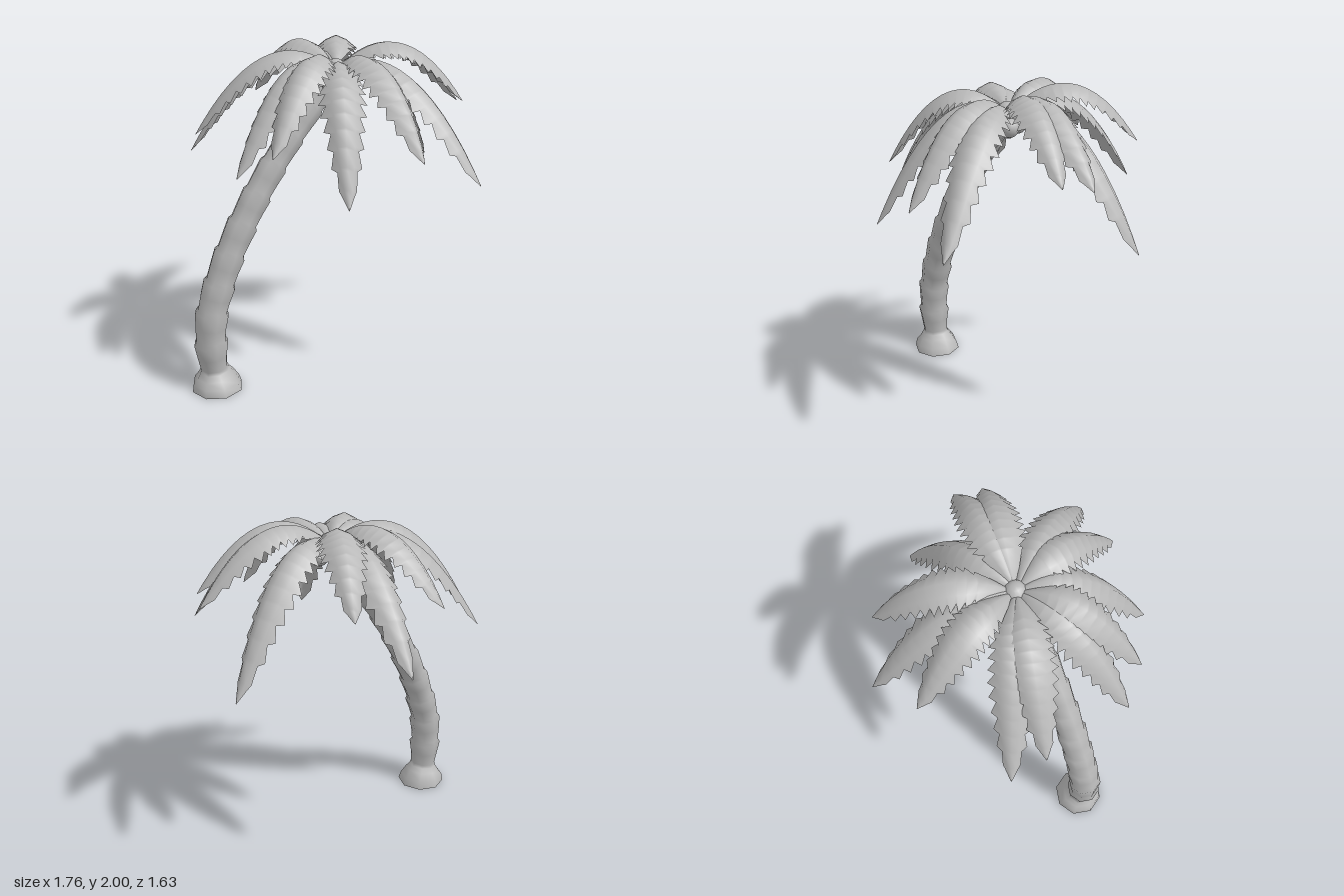
import * as THREE from 'three';

const grey = new THREE.MeshStandardMaterial({ color: 0xb8b8b8, side: THREE.DoubleSide });
grey.name = 'plain grey';

// Smooth surface through rows of points; wrap joins the last column to the first
function skin(rows, wrap) {
  const n = rows[0].length, index = [];
  const cols = wrap ? n : n - 1;
  for (let i = 0; i < rows.length - 1; i++) {
    for (let j = 0; j < cols; j++) {
      const a = i * n + j, b = i * n + (j + 1) % n, c = a + n, d = b + n;
      index.push(a, b, c, b, d, c);
    }
  }
  const g = new THREE.BufferGeometry().setFromPoints(rows.flat());
  g.setIndex(index);
  g.computeVertexNormals();
  return g;
}

function add(parent, name, geometry) {
  const mesh = new THREE.Mesh(geometry, grey);
  mesh.name = name;
  parent.add(mesh);
  return mesh;
}

// Piecewise linear lookup in a list of [t, value]
function lerpTable(table, t) {
  for (let i = 1; i < table.length; i++) {
    const [t0, v0] = table[i - 1], [t1, v1] = table[i];
    if (t <= t1) return v0 + (v1 - v0) * (t - t0) / (t1 - t0);
  }
  return table[table.length - 1][1];
}

const TRUNK_Z = 0.045;
// Bark ledges along the leaning trunk: x, y, radius
const LEDGES = [
  [-0.743, 0.12, 0.095], [-0.755, 0.30, 0.105], [-0.742, 0.49, 0.104],
  [-0.69, 0.665, 0.101], [-0.62, 0.84, 0.098], [-0.535, 1.01, 0.095],
  [-0.44, 1.175, 0.091], [-0.335, 1.335, 0.086], [-0.22, 1.49, 0.081],
  [-0.095, 1.64, 0.075], [0.04, 1.80, 0.068],
];

function trunkGeometry() {
  const curve = new THREE.CatmullRomCurve3(
    [[-0.73, 0], ...LEDGES].map(([x, y]) => new THREE.Vector3(x, y, TRUNK_Z)));
  const last = LEDGES.length;
  const ring = (k, r) => {
    const u = Math.min(k / last, 1);
    const p = curve.getPoint(u);
    const t = k < 0.6 ? new THREE.Vector3(0, 1, 0) : curve.getTangent(u);
    return Array.from({ length: 8 }, (_, j) => {
      const a = j * Math.PI / 4, c = Math.cos(a) * r;
      return new THREE.Vector3(p.x + t.y * c, p.y - t.x * c, p.z - Math.sin(a) * r);
    });
  };
  // Flared foot, then segments that widen upward and step in
  const rows = [ring(0, 0.155), ring(0.4, 0.143), ring(0.75, 0.113), ring(1, 0.09)];
  for (let k = 1; k < last; k++) {
    const r0 = LEDGES[k - 1][2] * 0.86, r1 = LEDGES[k][2];
    rows.push(ring(k + 0.12, r0), ring(k + 0.55, r0 * 0.6 + r1 * 0.4), ring(k + 1, r1));
  }
  rows.push(ring(last, 0.001));
  return skin(rows, true);
}

const CROWN = new THREE.Vector3(0.07, 1.87, 0.035);
const HALF_WIDTH = [[0, 0.012], [0.08, 0.05], [0.3, 0.122], [0.6, 0.125], [0.85, 0.082], [0.95, 0.04], [1, 0.002]];

// Arched, folded leaf with saw teeth pointing toward its tip
function frondGeometry(tip) {
  const out = tip.clone().sub(CROWN).setY(0).normalize();
  const start = CROWN.clone().addScaledVector(out, 0.035).setY(1.88);
  const mid = start.clone().lerp(tip, 0.5).setY(1.68 + 0.32 * tip.y);
  const curve = new THREE.QuadraticBezierCurve3(start, mid, tip);
  const side = new THREE.Vector3().crossVectors(out, new THREE.Vector3(0, 1, 0));
  const row = (t, k) => {
    const p = curve.getPoint(t), normal = new THREE.Vector3().crossVectors(side, curve.getTangent(t));
    const w = lerpTable(HALF_WIDTH, t), edge = w * k;
    return [-1, -0.5, 0, 0.5, 1].map((s) => {
      const across = Math.abs(s) === 1 ? edge * s : w * s;
      const drop = Math.abs(s) === 1 ? 0.62 * edge : 0.42 * Math.abs(across);
      return p.clone().addScaledVector(side, across).addScaledVector(normal, -drop);
    });
  };
  const rows = [0, 0.04, 0.08, 0.14, 0.2].map((t) => row(t, 1));
  const teeth = 10, step = 0.74 / teeth;
  for (let i = 0; i < teeth; i++) {
    const t = 0.2 + i * step;
    rows.push(row(t + step * 0.18, 0.74), row(t + step, 1.06));
  }
  rows.push(row(0.955, 0.95), row(0.98, 1), row(1, 1));
  return skin(rows, false);
}

// Where each frond ends
const TIPS = [
  [0.20, 1.35, -0.82], [0.43, 1.65, -0.64], [-0.13, 1.62, -0.69], [-0.66, 1.34, -0.45],
  [-0.69, 1.49, -0.25], [-0.66, 1.37, 0.31], [-0.52, 1.50, 0.47], [-0.22, 1.26, 0.74],
  [0.20, 1.46, 0.78], [0.55, 1.30, 0.81], [0.80, 1.64, 0.27], [0.87, 1.61, 0.12], [0.88, 1.19, -0.22],
];

export function createModel() {
  const tree = new THREE.Group();
  tree.name = 'palmTree';
  add(tree, 'trunk', trunkGeometry());

  // Crown bud where the fronds meet
  add(tree, 'crownBud', new THREE.SphereGeometry(0.066, 12, 8)).position.copy(CROWN).setY(1.845);

  const fronds = new THREE.Group();
  fronds.name = 'fronds';
  tree.add(fronds);
  TIPS.forEach((t, i) => add(fronds, `frond${i + 1}`, frondGeometry(new THREE.Vector3(...t))));

  // Nuts hanging under the crown
  const nuts = new THREE.Group();
  nuts.name = 'coconuts';
  tree.add(nuts);
  [[0.065, 1.77, -0.04], [0.005, 1.78, 0.105], [0.125, 1.775, 0.065]].forEach((p, i) =>
    add(nuts, `coconut${i + 1}`, new THREE.SphereGeometry(0.055, 14, 10)).position.set(...p));

  return tree;
}
